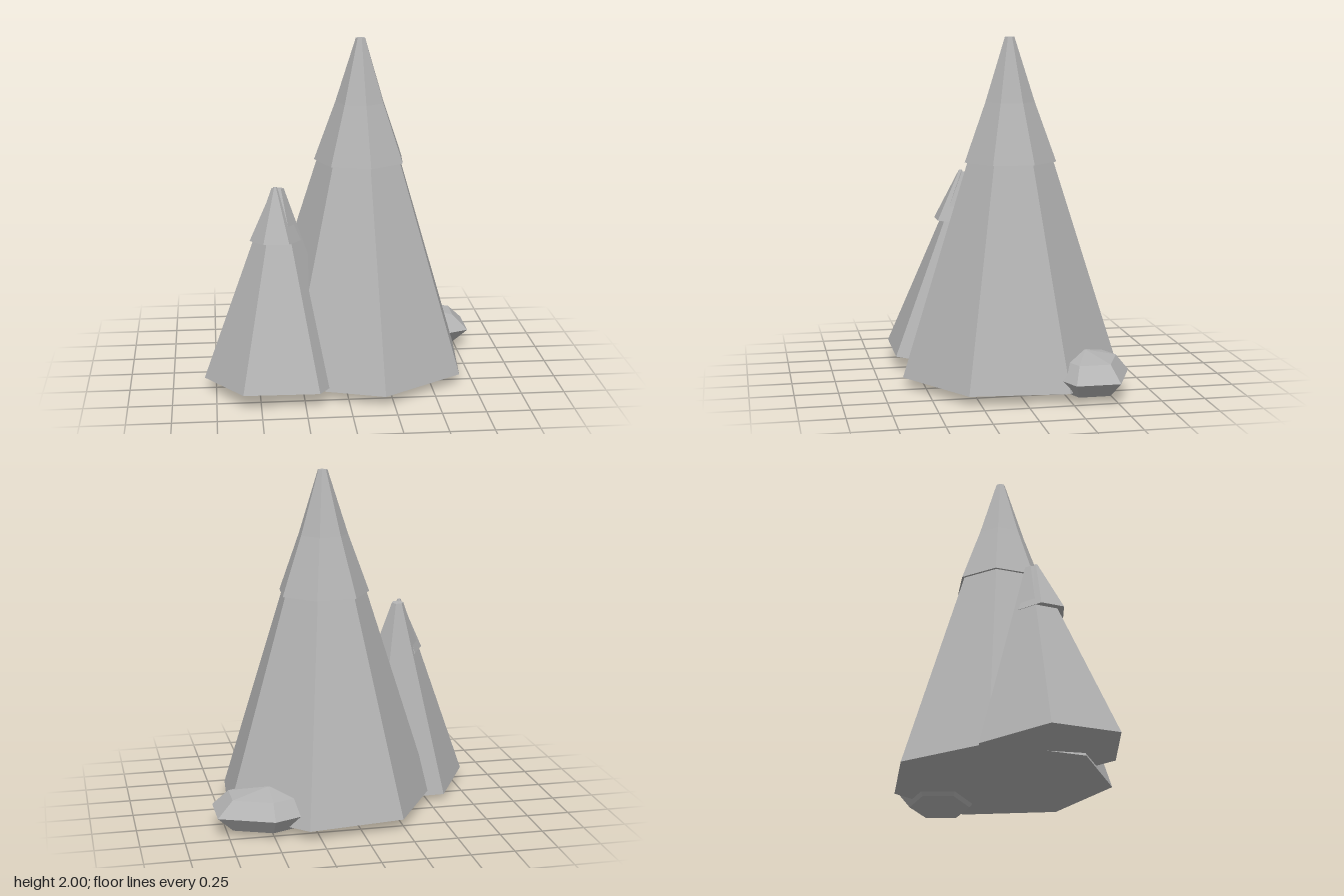
import * as THREE from 'three';

const stone = new THREE.MeshStandardMaterial({ color: 0xb3b3b3, flatShading: true });
stone.name = 'grey stone';

// Faceted tapering solid whose base sits at its own origin
function spire(name, bottomRadius, topRadius, height, sides, turn) {
  const geometry = new THREE.CylinderGeometry(topRadius, bottomRadius, height, sides, 1, false, turn);
  geometry.translate(0, height / 2, 0);
  const mesh = new THREE.Mesh(geometry, stone);
  mesh.name = name;
  return mesh;
}

export function createModel() {
  const model = new THREE.Group();
  model.name = 'rockSpires';

  // Tall seven-sided peak with a steeper cap that sinks into it
  const tall = new THREE.Group();
  tall.name = 'tallPeak';
  tall.position.set(0.115, 0.06, -0.013);
  const tallCap = spire('tallCap', 0.27, 0.01, 0.712, 7, 0.13);
  tallCap.position.y = 1.228;
  tall.add(spire('tallBody', 0.645, 0.028, 1.938, 7, 0.13), tallCap);
  model.add(tall);

  // Short six-sided peak, leaning back, with an off-centre cap
  const short = new THREE.Group();
  short.name = 'shortPeak';
  short.position.set(-0.387, 0.061, 0.25);
  short.rotation.set(-0.082, 0, -0.009);
  const shortCap = spire('shortCap', 0.147, 0.01, 0.31, 6, Math.PI / 6);
  shortCap.position.set(-0.016, 0.812, 0.031);
  short.add(spire('shortBody', 0.43, 0.035, 1.11, 6, Math.PI / 6), shortCap);
  model.add(short);

  // Flattened boulder at the back left foot
  const boulderShape = new THREE.SphereGeometry(1, 6, 4);
  boulderShape.rotateY(Math.PI / 2);
  boulderShape.scale(0.352, 0.126, 0.25);
  const boulder = new THREE.Mesh(boulderShape, stone);
  boulder.name = 'boulder';
  boulder.position.set(0.51, 0.128, -0.372);
  model.add(boulder);

  return model;
}
